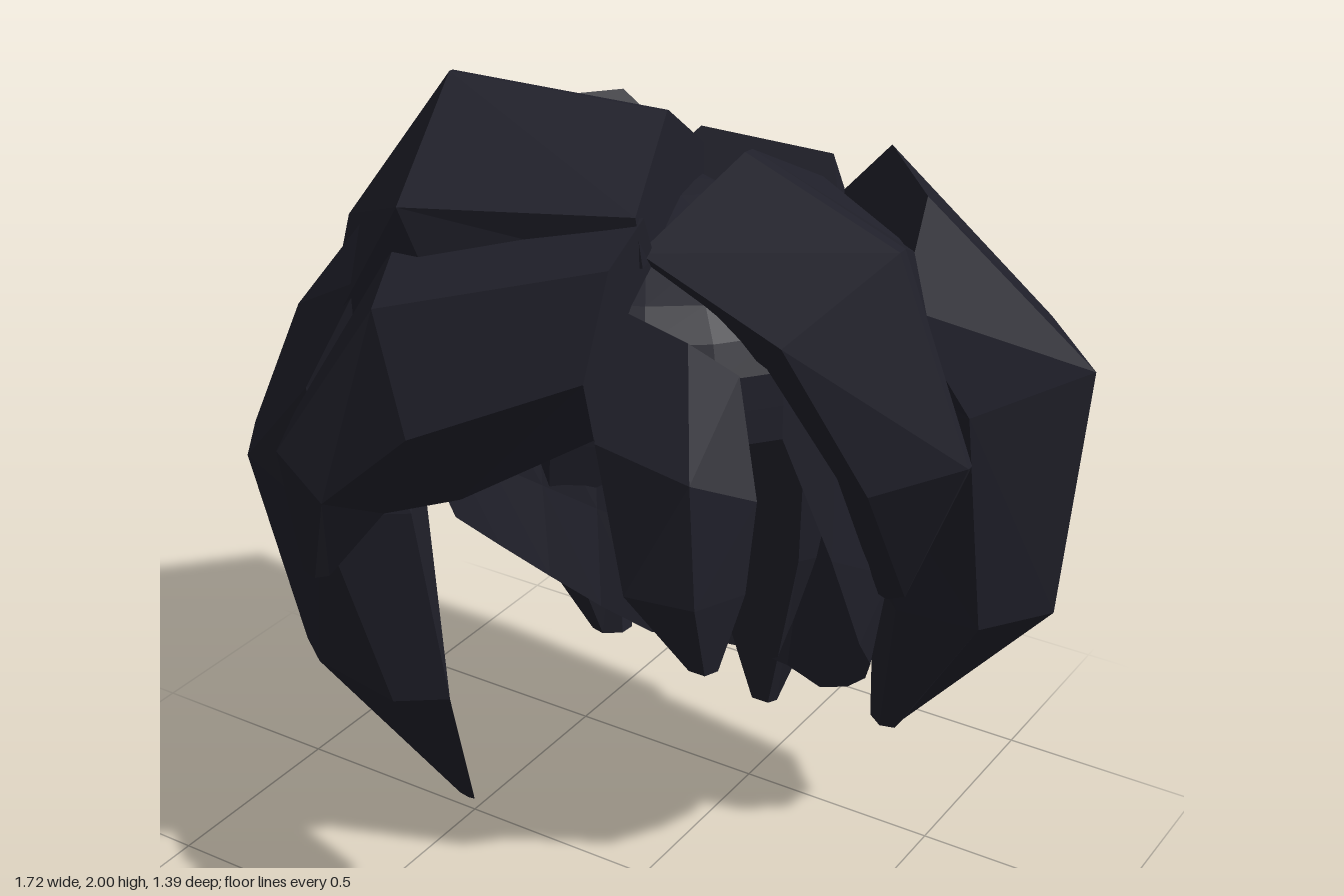
import * as THREE from 'three';

const material = new THREE.MeshStandardMaterial({ color: 0x20202a, flatShading: true, side: THREE.DoubleSide });

const mesh = (name, positions) => {
  const geometry = new THREE.BufferGeometry();
  geometry.setAttribute('position', new THREE.Float32BufferAttribute(positions, 3));
  geometry.computeVertexNormals();
  const m = new THREE.Mesh(geometry, material);
  m.name = name;
  return m;
};

// A lock is lofted through six-sided sections. Each section holds its
// centre, half-width vector and outward vector; ridge sets the outer face
// width, inner and depth the width and depth of the underside.
function lock(name, ridge, sections, inner = 0.5, depth = 0.8) {
  const v = (a) => new THREE.Vector3(...a);
  const rings = sections.map(([c, w, t]) =>
    [[-1, 0], [-ridge, 1], [ridge, 1], [1, 0], [inner, -depth], [-inner, -depth]].map(([a, b]) =>
      v(c).addScaledVector(v(w), a).addScaledVector(v(t), b)));
  const travel = v(sections[2][0]).sub(v(sections[1][0]));
  const flip = v(sections[1][1]).cross(v(sections[1][2])).dot(travel) < 0;
  const out = [];
  const tri = (a, b, c) => (flip ? [a, c, b] : [a, b, c]).forEach((p) => out.push(p.x, p.y, p.z));
  for (let i = 0; i < rings.length - 1; i++) {
    for (let j = 0; j < 6; j++) {
      const k = (j + 1) % 6;
      const [a, b, c, d] = [rings[i][j], rings[i][k], rings[i + 1][j], rings[i + 1][k]];
      tri(a, c, b);
      tri(b, c, d);
    }
  }
  const first = rings[0], last = rings[rings.length - 1];
  for (let j = 1; j < 5; j++) {
    tri(first[0], first[j], first[j + 1]);
    tri(last[0], last[j + 1], last[j]);
  }
  return mesh(name, out);
}

// Scalp shell: a dome whose rim slopes from the forehead down to a flat nape
function scalp() {
  const sides = 24, rows = 8, out = [];
  const point = (i, j) => {
    const a = (i / sides) * Math.PI * 2, t = j / rows;
    const x = Math.sin(a), z = Math.cos(a);
    const rim = THREE.MathUtils.clamp(0.81 + 0.49 * z + 0.9 * Math.max(0, z - 0.1), 0.39, 1.4);
    const y = 1.78 - (1.78 - rim) * (1 - Math.cos(t * Math.PI / 2));
    const r = Math.sin(Math.min(1, t * 1.25) * Math.PI / 2) * (y < 0.9 ? 1 - (0.9 - y) * 0.25 : 1);
    return [x * r * 0.55, y, z * r * 0.52 - 0.02];
  };
  for (let i = 0; i < sides; i++) {
    for (let j = 0; j < rows; j++) {
      const a = point(i, j), b = point(i + 1, j), c = point(i, j + 1), d = point(i + 1, j + 1);
      if (j > 0) out.push(...a, ...c, ...b);
      out.push(...b, ...c, ...d);
    }
  }
  return mesh('scalp', out);
}

export function createModel() {
  const group = new THREE.Group();
  group.name = 'hair';
  group.add(scalp());

  // Back corner locks, mirrored
  const corner = [
    [[0.38, 1.6, -0.28], [0.2, 0, 0.23], [0.07, 0.18, -0.04]],
    [[0.49, 1.33, -0.39], [0.2, 0, 0.22], [0.27, 0.05, -0.14]],
    [[0.56, 0.74, -0.44], [0.12, 0, 0.12], [0.17, 0, -0.1]],
    [[0.4, 0.34, -0.45], [0.04, 0, 0.03], [0.02, 0, -0.03]],
  ];
  const mirrored = corner.map(([c, ...rest]) =>
    [[0.02 - c[0], c[1], c[2]], ...rest.map(([x, y, z]) => [-x, y, z])]);
  group.add(lock('backLeftLock', 0.5, corner), lock('backRightLock', 0.5, mirrored));

  group.add(lock('backCentreLock', 0.67, [
    [[0.04, 1.62, -0.33], [0.25, 0, 0], [0, 0.11, -0.11]],
    [[0.02, 1.25, -0.53], [0.26, 0, 0], [0, 0.07, -0.17]],
    [[0.02, 0.7, -0.55], [0.21, 0, 0], [0, 0, -0.14]],
    [[0.04, 0.25, -0.5], [0.035, 0, 0], [0, 0, -0.03]],
  ], 0.65));

  group.add(lock('leftSideLock', 0.04, [
    [[0.23, 1.75, 0.02], [-0.05, 0, 0.28], [0.03, 0.14, 0]],
    [[0.54, 1.66, 0.09], [0, 0, 0.28], [0.1, 0.12, -0.01]],
    [[0.65, 1.3, 0.01], [0, 0, 0.19], [0.13, 0.02, 0]],
    [[0.57, 0.91, -0.1], [0, 0, 0.03], [0.03, 0, 0]],
  ], 0.65));

  // Crown lock folding over to the right side
  group.add(lock('crownLock', 0.02, [
    [[0.13, 1.83, 0.1], [0.08, 0.02, 0.26], [-0.01, 0.14, 0]],
    [[-0.265, 1.815, 0.21], [0.025, 0.015, 0.31], [-0.07, 0.185, -0.01]],
    [[-0.54, 1.45, 0.19], [0.03, 0, 0.25], [-0.13, 0.15, -0.05]],
    [[-0.57, 0.92, -0.04], [0, 0, 0.03], [-0.03, 0, 0]],
  ], 0.9));

  // Long strand hanging at the right temple
  group.add(lock('longStrand', 0.3, [
    [[-0.42, 1.62, 0.2], [0.03, 0, 0.26], [-0.08, 0.08, 0]],
    [[-0.58, 1.37, 0.24], [0.07, 0, 0.27], [-0.12, 0.08, 0]],
    [[-0.64, 1.08, 0.3], [0.13, -0.02, 0.2], [-0.18, 0.02, 0.05]],
    [[-0.63, 0.5, 0.21], [0.15, 0, 0.11], [-0.15, 0, 0.03]],
    [[-0.55, 0.01, -0.03], [0.025, 0.01, 0.02], [-0.02, 0, 0]],
  ], 0.6, 1.1));

  // Fringe swept to the right, and the short left fringe
  group.add(lock('sweptFringe', 0.5, [
    [[0.21, 1.64, 0.42], [0, 0.2, -0.09], [0.02, 0.05, 0.11]],
    [[-0.18, 1.49, 0.52], [-0.1, 0.24, -0.04], [0.02, 0.06, 0.15]],
    [[-0.39, 1.25, 0.56], [-0.11, 0.09, 0], [0, 0.02, 0.13]],
    [[-0.46, 0.98, 0.57], [-0.03, 0.01, 0], [0, 0, 0.03]],
  ], 0.7));
  group.add(lock('leftFringe', 0.6, [
    [[0.33, 1.63, 0.4], [0.15, -0.02, 0.02], [-0.01, 0.07, 0.08]],
    [[0.395, 1.43, 0.5], [0.18, -0.02, 0.01], [0, 0.06, 0.13]],
    [[0.44, 1.21, 0.54], [0.12, 0, -0.02], [0, 0, 0.1]],
    [[0.49, 1.04, 0.55], [0.03, 0, 0], [0, 0, 0.03]],
  ]));
  return group;
}
